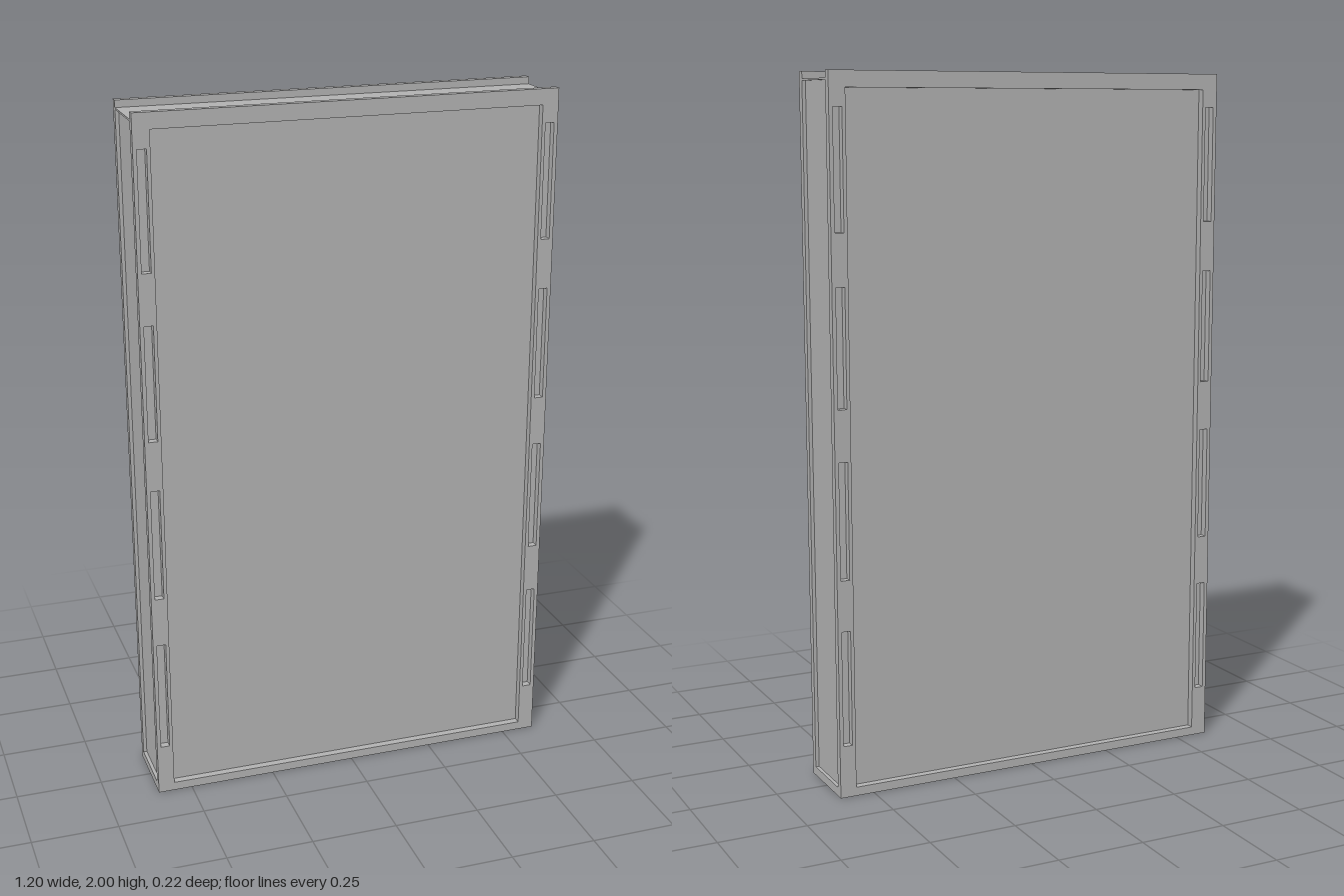
import * as THREE from 'three';

const HALF_W = 0.6, HEIGHT = 2, HALF_D = 0.111, PLATE = 0.022;

// Clockwise rectangle used as a hole
function rectHole(x0, x1, y0, y1) {
  const p = new THREE.Path();
  p.moveTo(x0, y0);
  p.lineTo(x0, y1);
  p.lineTo(x1, y1);
  p.lineTo(x1, y0);
  p.closePath();
  return p;
}

export function createModel() {
  const model = new THREE.Group();
  model.name = 'slottedPanel';
  const grey = new THREE.MeshStandardMaterial({ color: 0xb2b2b2 });
  grey.name = 'plain grey';

  function box(name, w, y0, y1, d) {
    const mesh = new THREE.Mesh(new THREE.BoxGeometry(w, y1 - y0, d), grey);
    mesh.name = name;
    mesh.position.y = (y0 + y1) / 2;
    model.add(mesh);
  }

  // Core between the two frames, slightly recessed at the sides
  const coreD = 2 * (HALF_D - PLATE);
  box('core', 1.18, 0.02, 1.978, coreD);
  // Thin full-width top sheet, set below the frame rims
  box('topSheet', 2 * HALF_W, 1.975, 1.98, coreD);
  // Full-width bottom board
  box('bottomBoard', 2 * HALF_W, 0, 0.025, coreD);

  // Frame outline with the large opening and four slots on each side
  const outline = new THREE.Shape([
    new THREE.Vector2(-HALF_W, 0), new THREE.Vector2(HALF_W, 0),
    new THREE.Vector2(HALF_W, HEIGHT), new THREE.Vector2(-HALF_W, HEIGHT),
  ]);
  outline.holes.push(rectHole(-0.553, 0.553, 0.025, 1.955));
  for (let i = 0; i < 4; i++) {
    const y = 0.15 + i * 0.475;
    outline.holes.push(rectHole(0.563, 0.589, y, y + 0.33));
    outline.holes.push(rectHole(-0.589, -0.563, y, y + 0.33));
  }
  const frameGeometry = new THREE.ExtrudeGeometry(outline, { depth: PLATE, bevelEnabled: false });

  // Matching front and back frames
  for (const [name, z] of [['frontFrame', HALF_D - PLATE], ['backFrame', -HALF_D]]) {
    const frame = new THREE.Mesh(frameGeometry, grey);
    frame.name = name;
    frame.position.z = z;
    model.add(frame);
  }
  return model;
}
